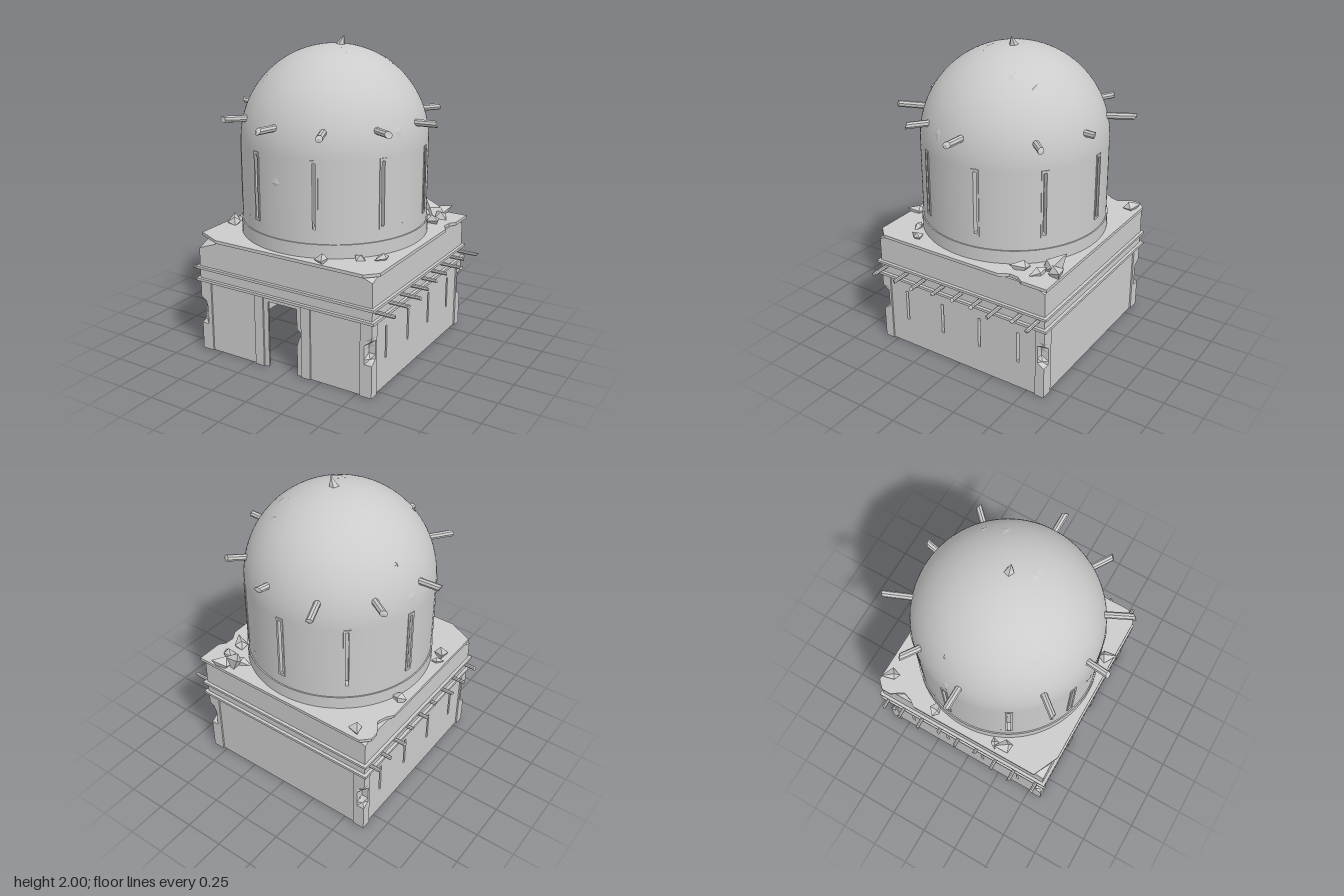
import * as THREE from 'three';

const smooth = new THREE.MeshStandardMaterial({ color: 0xcccccc, side: THREE.DoubleSide });
const flat = new THREE.MeshStandardMaterial({ color: 0xcccccc, flatShading: true, side: THREE.DoubleSide });
const HX = 0.625, HZ = 0.61, R = 0.587;

let seed = 7;
const rnd = () => (seed = (seed * 16807) % 2147483647) / 2147483647;
const V = (x, y, z) => new THREE.Vector3(x, y, z);
const poly = (pts) => new THREE.Shape(pts.map(([a, b]) => new THREE.Vector2(a, b)));

function rect(path, x0, y0, x1, y1) {
  path.moveTo(x0, y0).lineTo(x1, y0).lineTo(x1, y1).lineTo(x0, y1).closePath();
  return path;
}

export function createModel() {
  const model = new THREE.Group();
  const body = new THREE.Group();
  body.name = 'domedBuilding';
  body.position.set(-0.022, 0, -0.015);
  model.add(body);

  const add = (name, geo, mat = flat, parent = body) => {
    const m = new THREE.Mesh(geo, mat);
    m.name = name;
    parent.add(m);
    return m;
  };
  const box = (name, w, h, d, x, y, z, parent) =>
    add(name, new THREE.BoxGeometry(w, h, d), flat, parent).position.set(x, y, z);
  const extrude = (shape, depth, steps = 1) => new THREE.ExtrudeGeometry(shape, { depth, steps, bevelEnabled: false });

  // Thin square ring courses around the building
  const course = (name, out, y0, y1) => {
    const s = rect(new THREE.Shape(), -HX - out, -HZ - out, HX + out, HZ + out);
    s.holes.push(rect(new THREE.Path(), -HX + 0.018, -HZ + 0.018, HX - 0.018, HZ - 0.018));
    add(name, extrude(s, y1 - y0).rotateX(-Math.PI / 2)).position.y = y0;
  };
  course('lowerCornice', 0.02, 0.475, 0.492);
  course('frieze', 0, 0.492, 0.557);
  course('middleCornice', 0.02, 0.557, 0.573);
  course('parapetWall', 0, 0.573, 0.69);

  // Parapet top with broken corners
  const cap = new THREE.BoxGeometry(HX * 2, 0.068, HZ * 2, 16, 1, 16);
  const cp = cap.attributes.position;
  for (let i = 0; i < cp.count; i++) {
    const x = cp.getX(i), z = cp.getZ(i);
    const reach = x < 0 && z > 0 ? 0.17 : 0.08;
    const d = HX - Math.abs(x) + HZ - Math.abs(z);
    if (cp.getY(i) > 0 && d < reach) cp.setY(i, 0.034 - (reach - d) * 0.38);
  }
  add('parapetTop', cap).position.y = 0.722;

  // Roof slab with clipped corners and bitten edges
  const X = HX + 0.02, Z = HZ + 0.02;
  const slab = poly([
    [-X + 0.17, -Z], [X - 0.07, -Z], [X, -Z + 0.07], [X, 0.3], [X - 0.035, 0.36], [X - 0.03, 0.42], [X, 0.46],
    [X, Z], [-X + 0.05, Z], [-X, Z - 0.05], [-X, 0.52], [-X + 0.05, 0.44], [-X + 0.03, 0.38], [-X, 0.34], [-X, -Z + 0.08],
  ]);
  add('roofSlab', extrude(slab, 0.02).rotateX(-Math.PI / 2)).position.y = 0.755;

  // Hollow corner posts, each with a bite knocked out of the outer edge
  const plan = poly([[0, 0], [-0.05, 0], [-0.08, 0], [-0.08, -0.02], [-0.05, -0.02], [-0.014, -0.014],
    [-0.02, -0.045], [-0.02, -0.062], [0, -0.062], [0, -0.045]]);
  for (const sx of [-1, 1]) for (const sz of [-1, 1]) {
    const g = extrude(plan, 0.48, 16), p = g.attributes.position;
    const mid = 0.28 + sx * 0.012;
    for (let i = 0; i < p.count; i++) {
      const x = p.getX(i), z = p.getY(i), y = p.getZ(i), t = Math.abs(y - mid);
      const bite = x > -0.016 && z > -0.016 && t < 0.08 ? 0.045 * Math.min(1, (0.08 - t) / 0.05) : 0;
      p.setXYZ(i, sx * (HX + x - bite), y, sz * (HZ + z - bite));
    }
    // keep faces outward where mirroring turned them over
    if (sx * sz > 0) for (let i = 0; i < p.count; i += 3) {
      const a = V().fromBufferAttribute(p, i), b = V().fromBufferAttribute(p, i + 1);
      p.setXYZ(i, b.x, b.y, b.z);
      p.setXYZ(i + 1, a.x, a.y, a.z);
    }
    g.computeVertexNormals();
    add('cornerPost', g);
  }

  // Front wall with a doorway whose right edge is chipped
  const front = poly([
    [-0.55, 0], [-0.108, 0], [-0.108, 0.44], [0.102, 0.44], [0.102, 0.31], [0.14, 0.285], [0.118, 0.25],
    [0.102, 0.2], [0.102, 0], [0.55, 0], [0.55, 0.48], [-0.55, 0.48],
  ]);
  add('frontWall', extrude(front, 0.01)).position.z = HZ - 0.02;
  box('backWall', 1.1, 0.48, 0.01, 0, 0.24, -HZ + 0.015);

  // Hollow door pilasters, open towards the room
  const channel = poly([[-0.032, 0], [0.032, 0], [0.032, 0.07], [0.024, 0.07], [0.024, 0.008],
    [-0.024, 0.008], [-0.024, 0.07], [-0.032, 0.07]]);
  for (const x of [-0.174, 0.169]) {
    add('doorPilaster', extrude(channel, 0.478).rotateX(-Math.PI / 2)).position.set(x, 0, HZ);
  }

  // Side walls with slit windows and deep reveals
  const slit = (path, z, grow) => rect(path, z - 0.009 - grow, 0.183 - grow, z + 0.009 + grow, 0.392 + grow);
  for (const side of [-1, 1]) {
    const wall = rect(new THREE.Shape(), -0.555, 0, 0.555, 0.48);
    for (const z of [-0.42, -0.14, 0.14, 0.42]) {
      wall.holes.push(slit(new THREE.Path(), z, 0));
      const reveal = slit(new THREE.Shape(), z, 0.004);
      reveal.holes.push(slit(new THREE.Path(), z, 0));
      add('windowReveal', extrude(reveal, 0.045).translate(0, 0, -0.0225).rotateY(Math.PI / 2)).position.x = side * (HX - 0.036);
    }
    add('sideWall', extrude(wall, 0.01).translate(0, 0, -0.005).rotateY(Math.PI / 2)).position.x = side * (HX - 0.015);
  }

  // Timber with a splintered outer end, running from a to b
  const beam = (name, a, b, r) => {
    const len = a.distanceTo(b), g = new THREE.CylinderGeometry(r, r, len, 8), p = g.attributes.position;
    const phase = rnd() * 6;
    for (let i = 0; i < p.count; i++) {
      if (p.getY(i) > 0) p.setY(i, p.getY(i) - r * (0.5 + 0.5 * Math.sin(Math.atan2(p.getX(i), p.getZ(i)) + phase)));
    }
    const m = add(name, g);
    m.position.copy(a).lerp(b, 0.5);
    m.quaternion.setFromUnitVectors(V(0, 1, 0), b.clone().sub(a).normalize());
  };

  // Frieze beams: z, reach on the right (-x), reach on the left (+x)
  [[0.57, 0.71, 0.757], [0.405, 0.725, 0.757], [0.265, 0.715, 0.765], [0.12, 0.68, 0.74], [-0.02, 0.7, 0.73],
    [-0.16, 0.68, 0.732], [-0.3, 0.715, 0.77], [-0.445, 0.71, 0.722], [-0.567, 0.71, 0.765]].forEach(([z, l, r]) => {
    beam('friezeBeam', V(-0.57, 0.537, z), V(-l, 0.537, z), 0.0125);
    beam('friezeBeam', V(0.57, 0.537, z), V(r, 0.537, z), 0.0125);
  });

  // Beams radiating from the dome: angle in degrees, outer radius
  [[90, 0.708], [57, 0.71], [25, 0.745], [-6.5, 0.71], [-39.5, 0.715], [-90, 0.708],
    [-124, 0.7], [-157, 0.745], [169, 0.64], [135, 0.69]].forEach(([deg, out]) => {
    const t = THREE.MathUtils.degToRad(deg), s = Math.sin(t), c = Math.cos(t);
    beam('domeBeam', V(s * 0.5, 1.517, c * 0.5), V(s * out, 1.525, c * out), 0.021);
  });

  // Drum ring, dome shell and its wall between the windows
  add('drumRing', new THREE.CylinderGeometry(R + 0.008, R + 0.008, 0.09, 72), smooth).position.y = 0.815;
  add('drumLower', new THREE.CylinderGeometry(R, R, 0.1, 144, 1, true), smooth).position.y = 0.89;
  add('dome', new THREE.SphereGeometry(R, 144, 30, 0, Math.PI * 2, 0, Math.PI / 2), smooth).position.y = 1.359;
  const step = Math.PI * 2 / 9, gap = 0.034;
  for (let i = 0; i < 9; i++) {
    const t = step * (i + 0.5);
    const arc = new THREE.CylinderGeometry(R, R, 0.42, 16, 1, true, t + gap, step - gap * 2);
    add('drumWall', arc, smooth).position.y = 1.15;
    const win = new THREE.Group();
    win.name = 'domeWindow';
    win.rotation.y = t;
    body.add(win);
    const s = rect(new THREE.Shape(), -0.023, 0.935, 0.023, 1.362);
    s.holes.push(rect(new THREE.Path(), -0.01, 0.95, 0.01, 1.345));
    add('windowFrame', extrude(s, 0.055), flat, win).position.z = R - 0.05;
    box('windowBack', 0.046, 0.42, 0.01, 0, 1.15, R - 0.05, win);
  }

  // Broken stones: angular shards, optionally laid flat against a surface normal
  const rock = (name, x, y, z, sx, sy, sz, normal) => {
    const g = new THREE.OctahedronGeometry(1, 0), p = g.attributes.position, k = 1 + rnd() * 4;
    for (let i = 0; i < p.count; i++) {
      const f = 0.9 + 0.3 * Math.sin(p.getX(i) * 3 * k + p.getY(i) * 5 + p.getZ(i) * 7 * k);
      p.setXYZ(i, p.getX(i) * f, p.getY(i) * f, p.getZ(i) * f);
    }
    const m = add(name, g);
    m.scale.set(sx, sy, sz);
    m.position.set(x, y, z);
    if (normal) m.quaternion.setFromUnitVectors(V(0, 1, 0), normal);
    else m.rotation.set(rnd() * 0.6, rnd() * 6, rnd() * 0.6);
  };
  [[0.43, -0.53, 0.085], [0.48, -0.58, 0.075], [0.51, -0.39, 0.065], [0.4, -0.51, 0.06], [0.52, -0.5, 0.06],
    [-0.53, -0.56, 0.06], [-0.6, -0.2, 0.06], [-0.57, 0.31, 0.065], [-0.59, 0.23, 0.04], [0.27, 0.57, 0.06],
    [0.44, 0.44, 0.045], [0.56, 0.36, 0.05]].forEach(([x, z, r]) =>
    rock('rubble', x, 0.775 + r * 0.25, z, r * 1.15, r * 0.85, r * 0.75));

  // Shallow chips on the dome shell: x, z and size
  [[0.29, -0.175, 0.055], [0.09, 0.12, 0.065], [-0.28, 0.335, 0.06], [0.25, -0.3, 0.032], [-0.48, -0.13, 0.02],
    [0.54, 0.18, 0.05], [-0.57, -0.085, 0.05]].forEach(([x, z, r]) => {
    const n = V(x, Math.sqrt(R * R - x * x - z * z), z).divideScalar(R);
    rock('domeChip', n.x * R, 1.359 + n.y * R, n.z * R, r, 0.009, r * 0.7, n);
  });
  rock('drumChip', -0.04, 1.2, R - 0.002, 0.045, 0.009, 0.035, V(0, 0, 1));

  // Leaning spike of stone on the crown
  const spike = add('crownSpike', new THREE.ConeGeometry(0.037, 0.078, 5));
  spike.position.set(0.046, 1.963, -0.012);
  spike.rotation.z = -0.35;
  return model;
}
